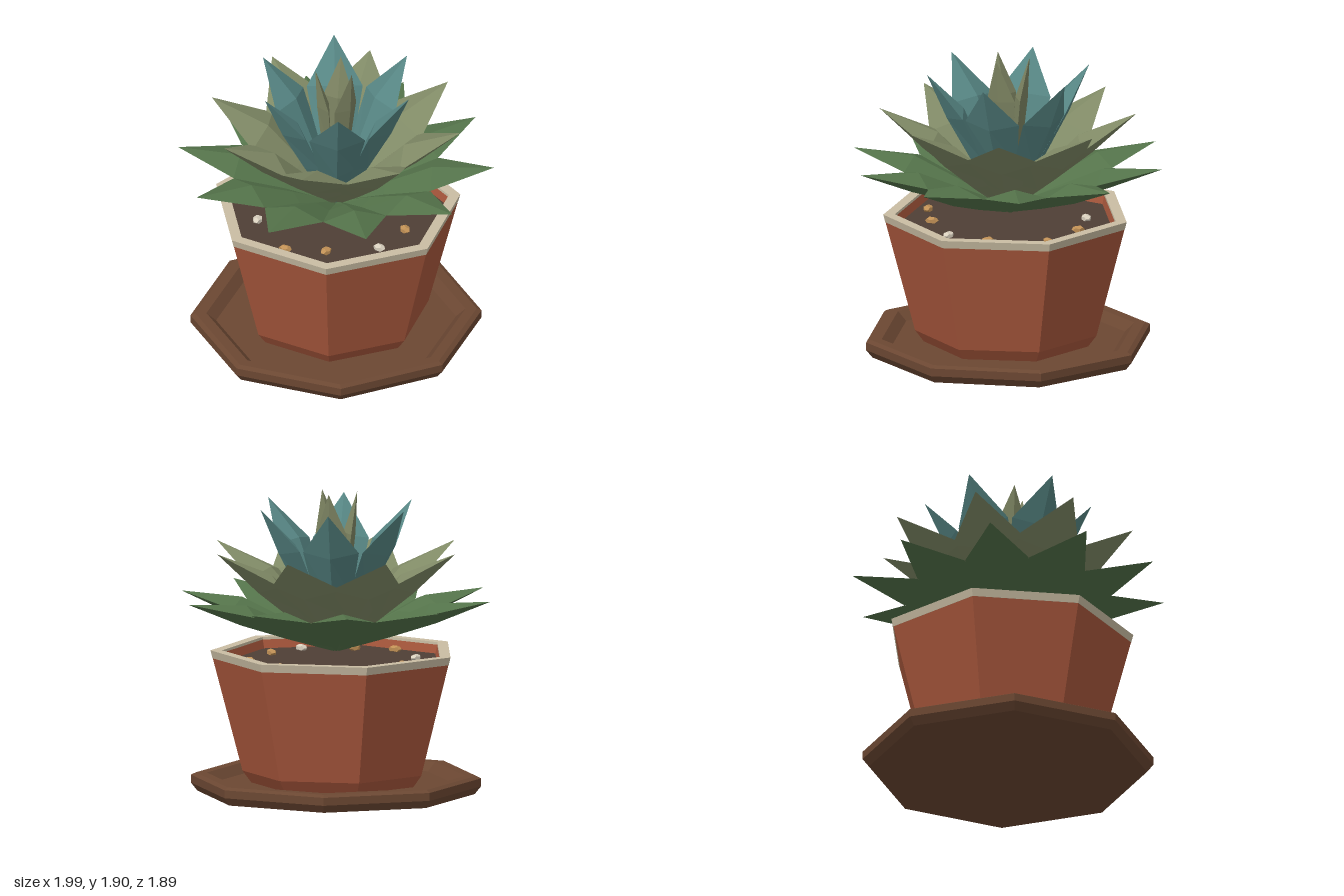
import * as THREE from 'three';

const mat = (color) => new THREE.MeshStandardMaterial({ color, flatShading: true });

// Faceted solid of revolution with one corner on +x
function lathe(name, profile, sides, color) {
  const pts = profile.map(([r, y]) => new THREE.Vector2(r, y));
  const mesh = new THREE.Mesh(new THREE.LatheGeometry(pts, sides, Math.PI / 2), mat(color));
  mesh.name = name;
  return mesh;
}

// Leaf along +x: diamond sections [x, halfWidth, edgeY, ridgeY, keelY], pointed tip
function leafGeometry(length, width, shoulder, thick) {
  const sections = [
    [0, 0.03, 0, 0.015, -0.02],
    [shoulder * 0.5, width * 0.66, 0.03, 0.065, -0.03],
    [shoulder, width, 0.045, 0.1, -0.03],
    [1, 0, 0, 0, 0],
  ].map(([x, w, e, r, k]) => [[r, 0], [e, w], [k, 0], [e, -w]]
    .map(([y, z]) => [x * length, y * thick, z]));
  const pos = [];
  for (let i = 0; i < sections.length - 1; i++) {
    for (let j = 0; j < 4; j++) {
      const k = (j + 1) % 4;
      const a = sections[i][j], b = sections[i][k];
      const c = sections[i + 1][k], d = sections[i + 1][j];
      pos.push(...a, ...b, ...d);
      if (i < sections.length - 2) pos.push(...b, ...c, ...d);
    }
  }
  const geo = new THREE.BufferGeometry();
  geo.setAttribute('position', new THREE.Float32BufferAttribute(pos, 3));
  geo.computeVertexNormals();
  return geo;
}

// Ring of leaves running from [radius, y] at the base to [radius, y] at the tip
function leafRing({ name, count, offset, base, tip, width, shoulder, thick, color }) {
  const ring = new THREE.Group();
  ring.name = name;
  const dr = tip[0] - base[0], dy = tip[1] - base[1];
  const geo = leafGeometry(Math.hypot(dr, dy), width, shoulder, thick);
  geo.rotateZ(Math.atan2(dy, dr));
  geo.translate(base[0], base[1], 0);
  const material = mat(color);
  for (let i = 0; i < count; i++) {
    const leaf = new THREE.Mesh(geo, material);
    leaf.name = 'leaf';
    leaf.rotation.y = -(offset + (i / count) * Math.PI * 2);
    ring.add(leaf);
  }
  return ring;
}

export function createModel() {
  const model = new THREE.Group();
  model.name = 'pottedSucculent';

  // Eight-sided saucer
  model.add(lathe('saucer', [
    [0, 0], [0.87, 0], [0.91, 0.05], [0.91, 0.1], [0.88, 0.115],
    [0.81, 0.115], [0.75, 0.06], [0, 0.06],
  ], 8, 0x6b4732));

  // Seven-sided pot with a pale rim band
  model.add(lathe('pot', [
    [0, 0.065], [0.53, 0.065], [0.585, 0.14], [0.783, 0.898],
    [0.715, 0.898], [0.69, 0.8],
  ], 7, 0xa8573c));
  model.add(lathe('rim', [
    [0.768, 0.85], [0.772, 0.85], [0.785, 0.9], [0.712, 0.9], [0.71, 0.85],
  ], 7, 0xc9bda3));
  model.add(lathe('soil', [[0.71, 0.83], [0, 0.83]], 7, 0x4f3f35));

  // Pebbles scattered round the soil
  const pebbles = new THREE.Group();
  pebbles.name = 'pebbles';
  const pebbleGeo = new THREE.DodecahedronGeometry(0.04, 0);
  const pale = mat(0xd8cfbd), amber = mat(0xc09055);
  for (let i = 0; i < 10; i++) {
    const angle = 0.26 + i * Math.PI / 5 + 0.08 * Math.sin(i * 2.3);
    const r = 0.51 + 0.04 * Math.sin(i * 4.1);
    const pebble = new THREE.Mesh(pebbleGeo, i % 3 === 0 && i < 9 ? pale : amber);
    pebble.name = 'pebble';
    pebble.position.set(r * Math.cos(angle), 0.845, r * Math.sin(angle));
    pebble.scale.set(1.1, 0.6, 0.8);
    pebble.rotation.y = i * 1.7;
    pebbles.add(pebble);
  }
  model.add(pebbles);

  // Rosette, from the spreading outer leaves to the upright heart
  [
    { name: 'outerLeaves', count: 10, offset: 0, base: [0.02, 0.915], tip: [0.995, 1.24],
      width: 0.2, shoulder: 0.63, thick: 1, color: 0x54734a },
    { name: 'middleLeaves', count: 8, offset: 0.3, base: [0.02, 0.935], tip: [0.805, 1.55],
      width: 0.235, shoulder: 0.62, thick: 1.1, color: 0x808a66 },
    { name: 'innerLeaves', count: 6, offset: 0.794, base: [0.04, 0.95], tip: [0.52, 1.82],
      width: 0.175, shoulder: 0.68, thick: 0.95, color: 0x568583 },
    { name: 'heartLeaves', count: 3, offset: 0, base: [0.03, 0.96], tip: [0.135, 1.9],
      width: 0.1, shoulder: 0.72, thick: 0.6, color: 0x7d8462 },
  ].forEach((spec) => model.add(leafRing(spec)));

  return model;
}
